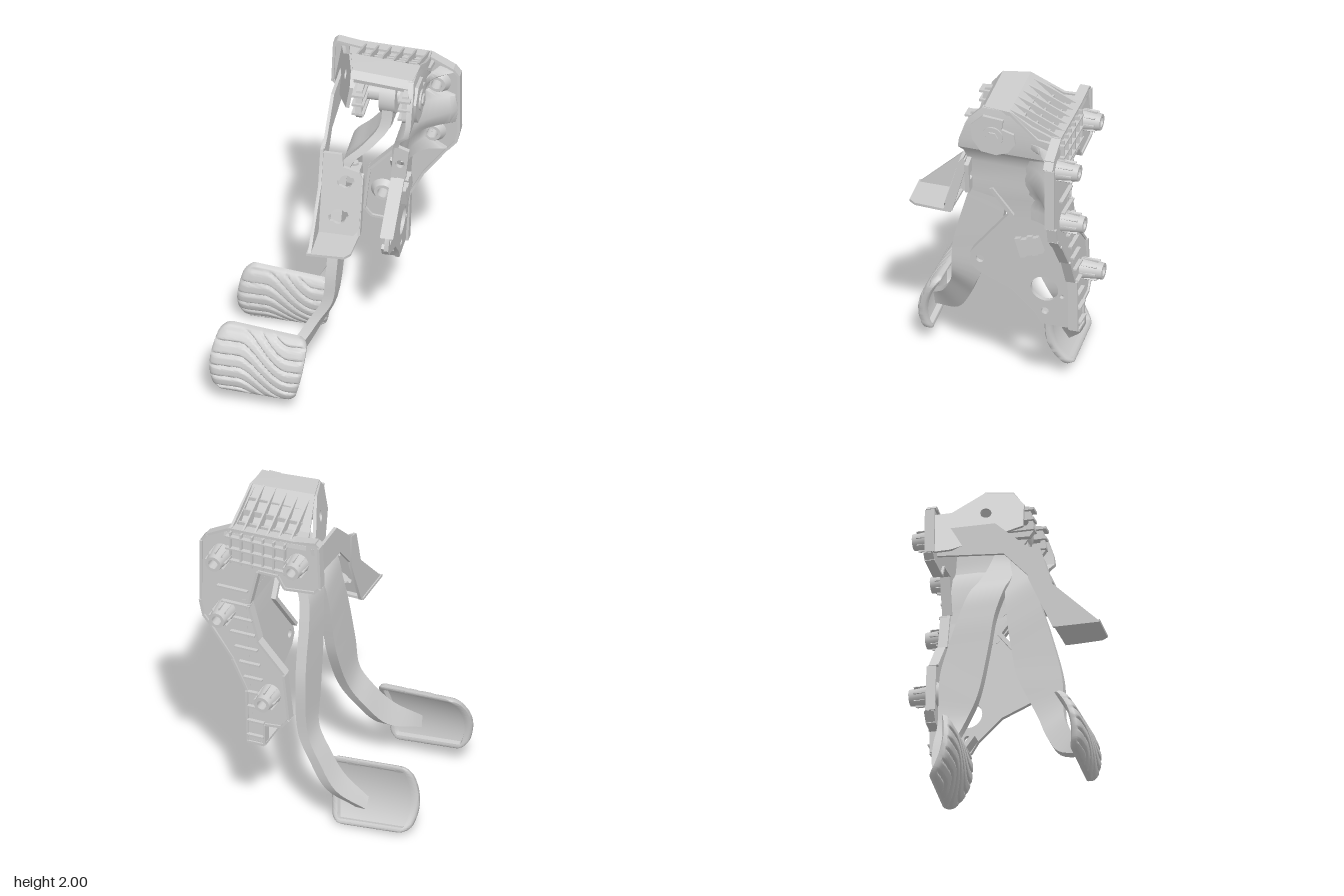
import * as THREE from 'three';
import { toCreasedNormals } from 'three/addons/utils/BufferGeometryUtils.js';

const mat = new THREE.MeshStandardMaterial({ color: 0xcccccc, side: THREE.DoubleSide });
const PIVOT = { y: 1.83, z: -0.04 };

function add(parent, name, geo, crease = 0.6) {
  const m = new THREE.Mesh(toCreasedNormals(geo, crease), mat);
  m.name = name;
  parent.add(m);
  return m;
}

// Solid skin through closed rings of equal length, flipped if inside out
function loft(rings) {
  const n = rings[0].length, pos = rings.flat(2), idx = [];
  for (let i = 0; i < rings.length - 1; i++)
    for (let j = 0; j < n; j++) {
      const a = i * n + j, b = i * n + (j + 1) % n;
      idx.push(a, b, a + n, b, b + n, a + n);
    }
  const last = (rings.length - 1) * n;
  // end caps joined as strips between opposite points
  for (let j = 0; j < n / 2 - 1; j++) {
    const k = n - 1 - j;
    idx.push(j, k, j + 1, j + 1, k, k - 1);
    idx.push(last + j, last + j + 1, last + k, last + j + 1, last + k - 1, last + k);
  }
  let vol = 0;
  const p = i => new THREE.Vector3().fromArray(pos, i * 3);
  for (let i = 0; i < idx.length; i += 3) vol += p(idx[i]).dot(p(idx[i + 1]).cross(p(idx[i + 2])));
  if (vol < 0) idx.reverse();
  const g = new THREE.BufferGeometry();
  g.setAttribute('position', new THREE.Float32BufferAttribute(pos, 3));
  g.setIndex(idx);
  return g;
}

function warp(geo, fn) {
  const a = geo.attributes.position, v = new THREE.Vector3();
  for (let i = 0; i < a.count; i++) { fn(v.fromBufferAttribute(a, i)); a.setXYZ(i, v.x, v.y, v.z); }
  return geo;
}

function shape(pts, holes = []) {
  const s = new THREE.Shape(pts.map(p => new THREE.Vector2(...p)));
  for (const [x, y, r] of holes) s.holes.push(new THREE.Path().absarc(x, y, r, 0, Math.PI * 2, true));
  return s;
}
const extrude = (s, depth) => new THREE.ExtrudeGeometry(s, { depth, bevelEnabled: false, curveSegments: 12 });
// Outline given in (z, y), thickness running from x down to x - d
const sidePlate = (pts, x, d, holes) => extrude(shape(pts, holes), d).rotateY(-Math.PI / 2).translate(x, 0, 0);
const box = (w, h, d, x, y, z) => new THREE.BoxGeometry(w, h, d).translate(x, y, z);
const rodX = (r, len, x, y, z, seg = 28) => new THREE.CylinderGeometry(r, r, len, seg).rotateZ(Math.PI / 2).translate(x, y, z);
const backZ = y => -0.42 - (1.8 - y) * 0.047;

// Bowed rubber pad with wavy grooves and a rimmed back
function padGeometry() {
  const rings = [], N = 56, M = 76;
  for (let i = 0; i <= M; i++) {
    const v = -1 + 2 * i / M, c = THREE.MathUtils.clamp((Math.abs(v) - 0.7) / 0.3, 0, 1);
    const half = 0.258 - 0.03 * v * v + 0.012 * v - 0.05 * (1 - Math.sqrt(1 - c * c));
    const front = [], back = [];
    for (let j = 0; j <= N; j++) {
      const u = -1 + 2 * j / N, x = -0.345 + half * u + 0.02 * v + 0.015 * v * v;
      const y = 0.272 + 0.19 * v - 0.07 * (x + 0.345);
      const edge = Math.max(Math.abs(u), Math.abs(v));
      const ph = (y + 0.19 * THREE.MathUtils.smoothstep(x, -0.45, -0.16)) / 0.066;
      const d = Math.abs(ph - Math.round(ph));
      const z = 0.572 - 1.6 * (y - 0.2) ** 2;
      front.push([x, y, z + 0.01 - 0.016 * Math.exp(-((d / 0.12) ** 2)) * (1 - edge ** 14) - 0.02 * edge ** 14]);
      back.push([x, y, z - (edge > 0.84 ? 0.05 - 0.015 * edge ** 20 : 0.022)]);
    }
    rings.push([...front, ...back.reverse()]);
  }
  return loft(rings);
}

// Flat arm swept between a front edge and a back edge
function armGeometry() {
  const curve = pts => new THREE.CatmullRomCurve3(pts.map(p => new THREE.Vector3(...p))).getPoints(50);
  const f = curve([[0.29, 1.9, 0.04], [0.28, 1.68, 0.07], [0.19, 1.56, 0.12], [0.08, 1.45, 0.16], [0.05, 1.28, 0.19],
    [0.04, 1.1, 0.244], [0.03, 0.8, 0.32], [0.01, 0.62, 0.332], [-0.06, 0.5, 0.36], [-0.15, 0.365, 0.43], [-0.28, 0.25, 0.53]]);
  const b = curve([[0.29, 1.9, -0.1], [0.28, 1.65, -0.07], [0.19, 1.5, -0.04], [0.08, 1.36, -0.02], [0.05, 1.2, 0],
    [0.04, 1.0, 0.03], [0.03, 0.84, 0.064], [0.01, 0.56, 0.19], [-0.06, 0.42, 0.25], [-0.15, 0.27, 0.345], [-0.28, 0.18, 0.52]]);
  const t = 0.03;
  return loft(f.map((p, i) => [[p.x - t, p.y, p.z], [p.x + t, p.y, p.z], [b[i].x + t, b[i].y, b[i].z], [b[i].x - t, b[i].y, b[i].z]]));
}

function pedal(name, angle) {
  const g = new THREE.Group(), inner = new THREE.Group();
  g.name = name;
  inner.position.set(0, -PIVOT.y, -PIVOT.z);
  add(inner, 'pedalArm', armGeometry());
  add(inner, 'pedalPad', padGeometry(), 0.9);
  add(inner, 'pedalHub', rodX(0.11, 0.09, 0.29, PIVOT.y, PIVOT.z));
  g.add(inner);
  g.position.set(0, PIVOT.y, PIVOT.z);
  g.rotation.x = angle;
  return g;
}

function boss(x, y, tip) {
  const g = new THREE.Group();
  g.name = 'mountingBoss';
  const z0 = backZ(y) + 0.03, len = z0 - tip;
  const prof = [[0.03, 0], [0.068, 0], [0.062, 0.02], [0.046, len], [0.028, len], [0.026, len * 0.3], [0.03, 0]];
  add(g, 'bossTube', new THREE.LatheGeometry(prof.map(p => new THREE.Vector2(...p)), 24).rotateX(-Math.PI / 2));
  // raised collar around the bolt hole on the front side
  const collar = [[0.03, 0], [0.032, 0.035], [0.05, 0.035], [0.075, 0]];
  add(g, 'boltCollar', new THREE.LatheGeometry(collar.map(p => new THREE.Vector2(...p)), 24).rotateX(Math.PI / 2));
  for (let i = 0; i < 8; i++)
    add(g, 'bossFin', box(0.018, 0.008, len * 0.8, 0.053, 0, -len * 0.4).rotateZ(i * Math.PI / 4));
  g.position.set(x, y, z0);
  return g;
}

function bracket() {
  const g = new THREE.Group();
  g.name = 'bracket';
  const bosses = [[0.02, 1.73, -0.53], [0.48, 1.68, -0.55], [0.45, 1.33, -0.57], [0.17, 0.86, -0.59]];

  // Back flange, leaning slightly
  const outline = [[0.2, 0.53], [0.3, 0.53], [0.31, 0.85], [0.4, 1.03], [0.53, 1.21], [0.58, 1.27], [0.6, 1.36], [0.6, 1.74], [0.57, 1.78],
    [0.44, 1.85], [0.05, 1.86], [-0.08, 1.88], [-0.1, 1.86], [-0.11, 1.6], [-0.08, 1.57], [0.1, 1.55], [0.14, 1.62],
    [0.26, 1.62], [0.31, 1.4], [0.25, 1.18], [0.09, 1.0], [0.06, 0.72], [0.1, 0.67], [0.2, 0.66]];
  add(g, 'backFlange', warp(extrude(shape(outline, bosses.map(b => [b[0], b[1], 0.03])), 0.03), v => { v.z += backZ(v.y); }));
  // Raised rim around the flange
  outline.forEach(([x, y], i) => {
    const [x2, y2] = outline[(i + 1) % outline.length], L = Math.hypot(x2 - x, y2 - y);
    const r = add(g, 'flangeRim', box(L, 0.014, 0.055, 0, 0, 0));
    r.position.set((x + x2) / 2, (y + y2) / 2, backZ((y + y2) / 2) + 0.017);
    r.rotation.z = Math.atan2(y2 - y, x2 - x);
  });
  for (const b of bosses) g.add(boss(...b));

  // Rib lattice on the back
  for (let i = 0; i < 6; i++) add(g, 'backRib', box(0.01, 0.2, 0.04, 0.1 + i * 0.065, 1.74, -0.425));
  for (let i = 0; i < 3; i++) add(g, 'backRib', box(0.36, 0.01, 0.04, 0.27, 1.66 + i * 0.075, -0.43));
  for (let i = 0; i < 11; i++) {
    const y = 0.58 + i * 0.09, s = Math.max(0, y - 0.85);
    const rib = add(g, 'columnRib', box(0.1 + s * 0.13, 0.01, 0.045, 0, 0, 0));
    rib.position.set(0.25 + s * 0.25, y, backZ(y));
  }

  // Hood: bent sheet narrowing forward, with ribs on its rear slope
  const top = [[0.05, 1.96], [0.02, 2.0], [-0.13, 2.0], [-0.3, 1.86], [-0.42, 1.85]];
  const under = top.map(([z, y]) => [z - 0.005, y - 0.025]).reverse();
  const taper = v => {
    v.y -= (v.x - 0.05) * 0.07;
    v.x += (v.z + 0.13) * (v.x < 0.2 ? 0.25 : -0.1);
  };
  add(g, 'hood', warp(sidePlate([...top, ...under], 0.44, 0.39), taper), 0.2);
  for (let i = 0; i < 6; i++)
    add(g, 'hoodRib', sidePlate([[-0.13, 1.985], [-0.2, 1.96], [-0.42, 1.86], [-0.42, 1.83], [-0.3, 1.83]], 0.08 + i * 0.07, 0.01));
  for (let i = 0; i < 3; i++) add(g, 'hoodCrossRib', box(0.36, 0.05 - 0.008 * i, 0.01, 0.245, 1.91 - i * 0.035, -0.2 - i * 0.07));

  // Left wall spreading rearward and outward to the flange lobe
  add(g, 'leftWall', warp(sidePlate([[0.02, 1.99], [-0.13, 1.99], [-0.3, 1.86], [-0.42, 1.84], [-0.42, 1.6], [-0.3, 1.62], [-0.1, 1.7], [0.08, 1.78], [0.08, 1.92]],
    0.095, 0.02, [[-0.12, 1.86, 0.03]]), v => { v.x += v.z * 0.28 - (2 - v.y) * 0.16; }));

  // Right wall stepping inward below the pivot
  const rows = [[1.97, 0.03, -0.14, 0.42], [1.9, 0.1, -0.26, 0.43], [1.84, 0.13, -0.41, 0.43], [1.75, 0.16, -0.42, 0.43], [1.69, 0.17, -0.42, 0.42],
    [1.64, 0.15, -0.42, 0.37], [1.57, 0.13, -0.42, 0.35], [1.45, 0.12, -0.43, 0.345], [1.37, 0.12, -0.43, 0.34], [1.34, -0.02, -0.43, 0.335], [1.2, -0.13, -0.44, 0.325]];
  add(g, 'rightWall', loft(rows.map(([y, f, b, x]) => [[x - 0.015, y, f], [x + 0.015, y, f], [x + 0.015, y, b], [x - 0.015, y, b]])));

  // Flared web from right wall to flange, pulled in around the bolt holes: y, inner x, outer x, hollow
  const flare = [[1.79, 0.43, 0.5, 0.3], [1.76, 0.42, 0.58, 0.5], [1.72, 0.41, 0.46, 0.4], [1.65, 0.38, 0.45, 0.4], [1.6, 0.36, 0.58, 0.5],
    [1.5, 0.35, 0.595, 0.1], [1.42, 0.34, 0.58, 0.5], [1.37, 0.34, 0.43, 0.4], [1.3, 0.34, 0.42, 0.4], [1.23, 0.33, 0.53, 0.8]];
  add(g, 'flaredWeb', loft(flare.map(([y, x0, x1, h]) => {
    const f = [], b = [];
    for (let i = 0; i <= 8; i++) {
      const t = i / 8, x = x0 + (x1 - x0) * t;
      const z = -0.19 - 0.205 * (t * (1 - h) + h * (1 - (1 - t) ** 5));
      f.push([x, y, z + 0.008]); b.push([x, y, z - 0.01]);
    }
    return [...f, ...b.reverse()];
  })), 1);

  // Lower side plate with openings and folded edges
  const lean = v => { v.x += (v.y - 0.53) * 0.07; };
  const plate = [[-0.48, 0.53], [-0.27, 0.53], [-0.23, 0.6], [-0.1, 0.73], [0.1, 0.82], [0.14, 0.87], [0.13, 0.95], [-0.11, 1.26],
    [0.0, 1.42], [-0.44, 1.42]];
  add(g, 'sidePlate', warp(sidePlate(plate, 0.29, 0.025, [[-0.29, 0.77, 0.08], [-0.29, 0.62, 0.022], [-0.39, 0.735, 0.014], [0.08, 0.9, 0.024], [-0.08, 1.36, 0.02]]), lean));
  add(g, 'foldedEdge', warp(sidePlate([[0.13, 0.95], [-0.1, 1.25], [0.01, 1.4], [-0.01, 1.41], [-0.13, 1.25], [0.11, 0.94]], 0.31, 0.075), lean));
  add(g, 'foldedEdge', warp(sidePlate([[-0.28, 0.53], [-0.23, 0.6], [-0.25, 0.62], [-0.3, 0.545], [-0.48, 0.545], [-0.48, 0.53]], 0.29, 0.1), lean));
  for (let i = 0; i < 4; i++) {
    const clip = add(g, 'sideClip', box(0.04 + 0.01 * (i % 2), 0.12 - i % 2 * 0.02, 0.034, 0, 0, 0));
    clip.position.set(0.335, 1.04 + i * 0.012, -0.165 - i * 0.034);
    clip.rotation.x = 0.3;
  }
  // Front tab with hole
  add(g, 'frontTab', extrude(shape([[0.33, 1.39], [0.41, 1.38], [0.43, 1.57], [0.35, 1.6]], [[0.38, 1.48, 0.025]]), 0.025).translate(0, 0, 0.11));

  // Pivot shaft, cheeks and bearing cap
  add(g, 'pivotShaft', rodX(0.05, 0.4, 0.26, PIVOT.y, PIVOT.z));
  for (const x of [0.14, 0.4]) {
    add(g, 'pivotCheek', sidePlate([[0.13, 1.78], [0.1, 1.92], [-0.1, 1.95], [-0.15, 1.75], [0.1, 1.74]], x + 0.02, 0.035, [[0.07, 1.83, 0.025]]));
    for (let i = 0; i < 3; i++) add(g, 'cheekRib', box(0.07, 0.014, 0.2, x, 1.78 + i * 0.06, 0.03));
  }
  const cap = [[0.02, 1.93], [-0.1, 1.92], [-0.09, 1.86], [-0.16, 1.84], [-0.17, 1.78], [-0.13, 1.72], [-0.06, 1.69], [0.03, 1.7], [0.08, 1.77], [0.09, 1.86]];
  add(g, 'bearingCap', sidePlate(cap, 0.46, 0.025));
  add(g, 'boltCollar', rodX(0.06, 0.03, 0.455, 1.81, -0.04));
  add(g, 'boltHead', rodX(0.035, 0.04, 0.46, 1.81, -0.04, 6));
  return g;
}

// Guard tray: holed face, bottom lip, left wing and tie back to the bracket
function guard() {
  const g = new THREE.Group();
  g.name = 'guard';
  const face = shape([[-0.05, 1.1], [0.16, 1.1], [0.19, 1.14], [0.19, 1.43], [0.17, 1.46], [0.08, 1.48], [0.07, 1.55], [-0.05, 1.55]]);
  // round holes with side notches
  for (const [x, y, r] of [[0.1, 1.4, 0.036], [0.07, 1.2, 0.042]]) {
    const pts = [];
    for (let i = 0; i < 32; i++) {
      const a = -i * Math.PI / 16, k = r * (Math.abs(Math.cos(a - 0.25)) > 0.92 ? 1.35 : 1);
      pts.push(new THREE.Vector2(x + k * Math.cos(a), y + k * Math.sin(a)));
    }
    face.holes.push(new THREE.Path(pts));
  }
  add(g, 'guardFace', warp(extrude(face, 0.018), v => { v.z += 0.32 - (v.y - 1.1) * 0.29; }));
  add(g, 'guardLip', loft([[-0.06, 0.55], [0.15, 0.54], [0.18, 0.5], [0.19, 0.33]].map(([x, z]) =>
    [[x, 1.085, 0.29], [x, 1.085, z], [x, 1.1, z], [x, 1.1, 0.29]])));
  add(g, 'guardWing', sidePlate([[0.14, 1.59], [0.21, 1.57], [0.27, 1.36], [0.55, 1.09], [0.28, 1.09], [0.14, 1.4]], -0.035, 0.018));
  add(g, 'guardRightEdge', sidePlate([[0.22, 1.45], [0.245, 1.42], [0.33, 1.1], [0.28, 1.1], [0.2, 1.4]], 0.195, 0.014));
  add(g, 'guardTie', sidePlate([[0.2, 1.57], [0.13, 1.6], [-0.05, 1.76], [-0.38, 1.76], [-0.38, 1.6], [0, 1.57], [0.14, 1.42]], -0.03, 0.018));
  // Small switch behind the face
  add(g, 'switchBody', box(0.08, 0.09, 0.08, 0.12, 1.38, 0.13));
  add(g, 'switchPlunger', new THREE.CylinderGeometry(0.022, 0.022, 0.16, 16).translate(0.12, 1.36, 0.11));
  return g;
}

export function createModel() {
  const root = new THREE.Group();
  root.name = 'pedalAssembly';
  root.add(bracket(), guard(), pedal('pedalReleased', 0), pedal('pedalPressed', 0.45));
  return root;
}
